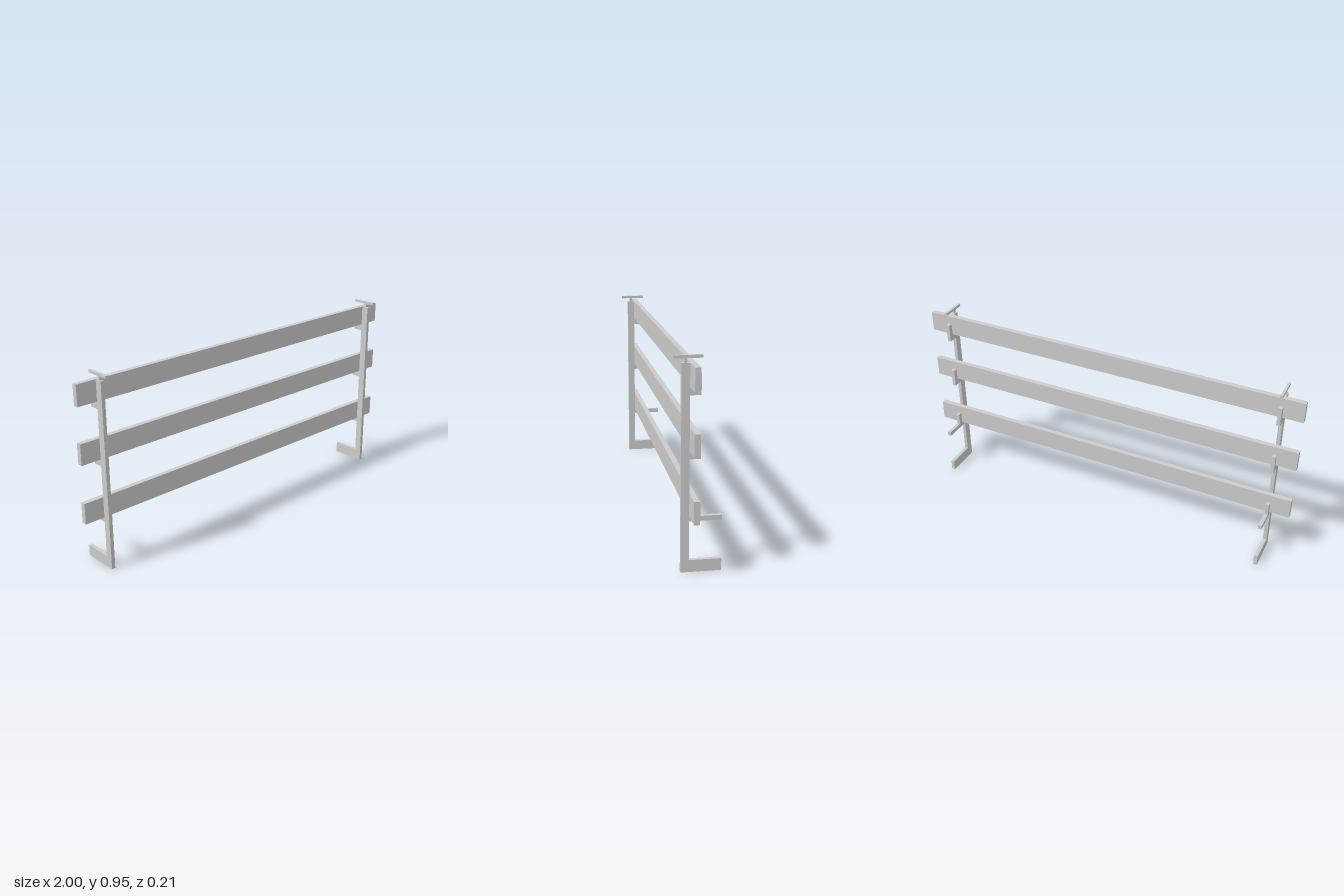
import * as THREE from 'three';

const material = new THREE.MeshStandardMaterial({ color: 0xcccccc, flatShading: true });

// Box given by its centre x, width, and y and z ranges
function box(name, x, width, y0, y1, z0, z1) {
  const mesh = new THREE.Mesh(new THREE.BoxGeometry(width, y1 - y0, z1 - z0), material);
  mesh.position.set(x, (y0 + y1) / 2, (z0 + z1) / 2);
  mesh.name = name;
  return mesh;
}

// Each rail: underside of its hook, underside of the board, top of the hook lip
const RAILS = [
  { arm: 0.232, seat: 0.254, lip: 0.313, reach: -0.105 },
  { arm: 0.507, seat: 0.541, lip: 0.6, reach: -0.011 },
  { arm: 0.78, seat: 0.814, lip: 0.873, reach: -0.011 },
];
const BOARD_HEIGHT = 0.102;
const FRONT = 0.073, BACK = 0.037, LIP_FRONT = 0.011, LIP_BACK = -0.011;

// Side outline (z, y) of post, foot and hooks in one piece
function postGeometry(width) {
  const points = [[FRONT, 0], [FRONT, 0.915], [BACK, 0.915]];
  for (const { arm, seat, lip, reach } of [...RAILS].reverse()) {
    points.push([BACK, seat], [LIP_FRONT, seat], [LIP_FRONT, lip], [LIP_BACK, lip]);
    if (reach < LIP_BACK) points.push([LIP_BACK, seat], [reach, seat]);
    points.push([reach, arm], [BACK, arm]);
  }
  points.push([BACK, 0.055], [-0.105, 0.055], [-0.105, 0]);
  const shape = new THREE.Shape(points.map(([z, y]) => new THREE.Vector2(z, y)));
  const geometry = new THREE.ExtrudeGeometry(shape, { depth: width, bevelEnabled: false });
  return geometry.translate(0, 0, -width / 2).rotateY(-Math.PI / 2);
}

export function createModel() {
  const model = new THREE.Group();
  model.name = 'guardRail';

  // Two posts, each with a T-shaped clamp handle on top
  const geometry = postGeometry(0.018);
  for (const side of [-1, 1]) {
    const x = side * 0.891;
    const support = new THREE.Group();
    support.name = side > 0 ? 'leftSupport' : 'rightSupport';
    const post = new THREE.Mesh(geometry, material);
    post.name = 'hookedPost';
    post.position.x = x;
    support.add(
      post,
      box('handleStem', x, 0.012, 0.915, 0.934, 0.05, 0.061),
      box('handleBar', x, 0.013, 0.934, 0.947, -0.018, 0.107),
    );
    model.add(support);
  }

  // Three boards resting in the hooks
  RAILS.forEach(({ seat }, i) => {
    model.add(box(`board${i + 1}`, 0, 2, seat, seat + BOARD_HEIGHT, LIP_FRONT, BACK - 0.001));
  });

  return model;
}
